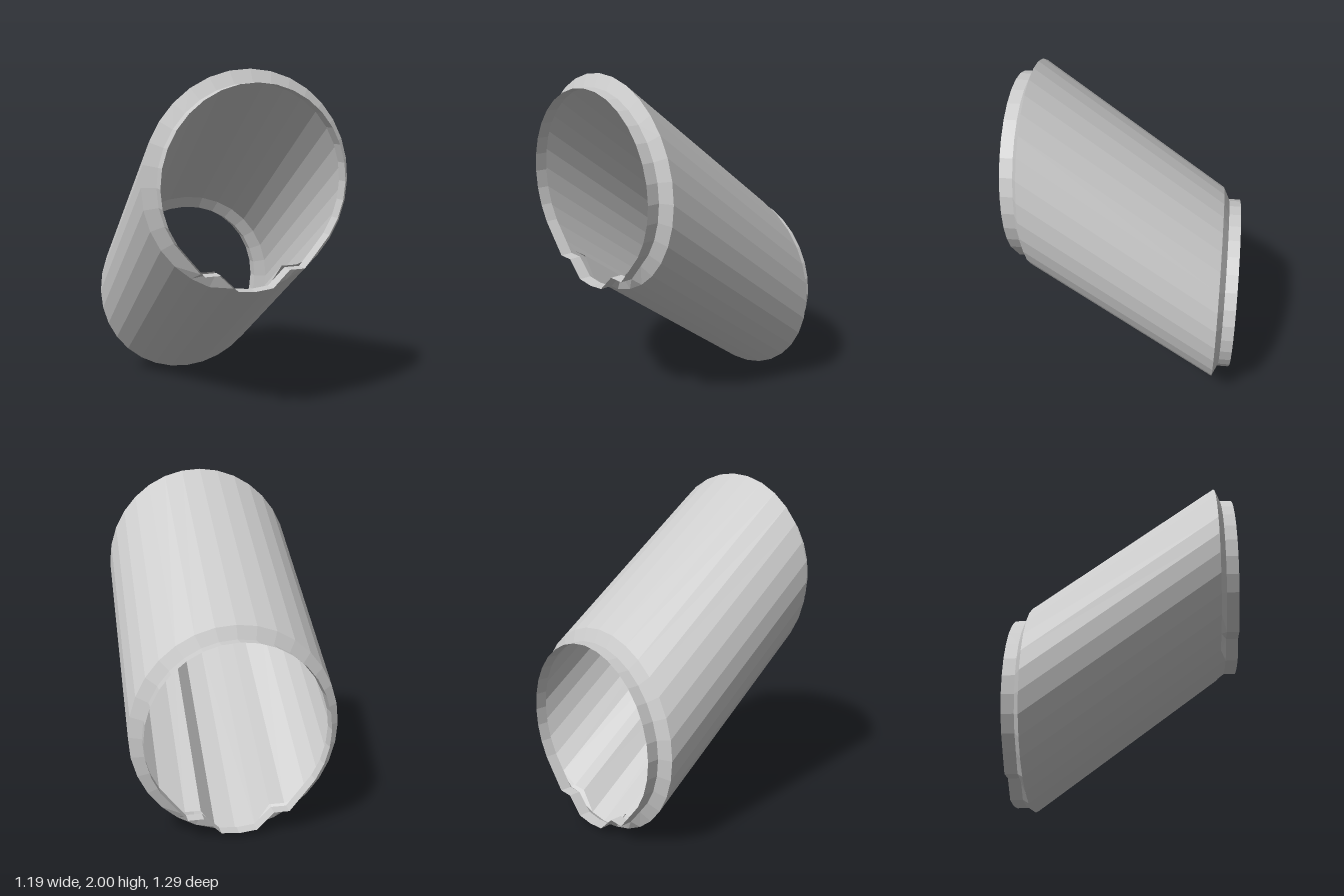
import * as THREE from 'three';

const SIDES = 32;
const BODY_R = 0.597, COLLAR_R = 0.525;
const RISE = 0.403, MID = 1.0; // ring centres sit at MID +/- RISE
const Z_BODY = 0.54, Z_COLLAR = 0.575, Z_END = 0.645;

const material = new THREE.MeshStandardMaterial({
  color: 0xcccccc, flatShading: true, side: THREE.DoubleSide,
});

// Point k of a round section, counted from the bottom
function onCircle(k, r) {
  const a = (k / SIDES) * Math.PI * 2;
  return [Math.sin(a) * r, -Math.cos(a) * r];
}

// Collar section: round, with a stepped channel at the bottom
const CHANNEL = [[0, -0.573], [0.102, -0.563], [0.2, -0.468], [0.29, -0.468]];
function onCollar(k) {
  const side = k > SIDES / 2 ? -1 : 1;
  const n = side < 0 ? SIDES - k : k;
  return n < CHANNEL.length ? [side * CHANNEL[n][0], CHANNEL[n][1]] : onCircle(k, COLLAR_R);
}

const ring = (fn) => Array.from({ length: SIDES + 1 }, (_, k) => fn(k % SIDES));
const bodyRing = ring((k) => onCircle(k, BODY_R));
const collarRing = ring(onCollar);

// Places a section at depth z, on the high front or low back centre
function place(section, z) {
  const cy = MID + Math.sign(z) * RISE;
  return section.map(([x, y]) => [x, y + cy, z]);
}

// Joins sections, listed from back to front, into a sheet
function loft(name, rows) {
  const n = rows[0].length;
  const index = [];
  for (let j = 0; j < rows.length - 1; j++) {
    for (let i = 0; i < n - 1; i++) {
      const a = j * n + i, b = a + 1, d = a + n, c = d + 1;
      index.push(a, b, c, a, c, d);
    }
  }
  const geometry = new THREE.BufferGeometry();
  geometry.setAttribute('position', new THREE.Float32BufferAttribute(rows.flat(2), 3));
  geometry.setIndex(index);
  geometry.computeVertexNormals();
  const mesh = new THREE.Mesh(geometry, material);
  mesh.name = name;
  return mesh;
}

export function createModel() {
  const group = new THREE.Group();
  group.name = 'slantedTube';

  // Slanted main tube
  group.add(loft('tubeBody', [place(bodyRing, -Z_BODY), place(bodyRing, Z_BODY)]));

  // Bevel and straight collar at each end
  group.add(loft('frontCollar', [
    place(bodyRing, Z_BODY), place(collarRing, Z_COLLAR), place(collarRing, Z_END),
  ]));
  group.add(loft('backCollar', [
    place(collarRing, -Z_END), place(collarRing, -Z_COLLAR), place(bodyRing, -Z_BODY),
  ]));

  // Two rails along the inside floor, either side of the channel
  const rail = [onCircle(4, BODY_R), CHANNEL[3], CHANNEL[2], onCircle(1, BODY_R)];
  const mirrored = rail.map(([x, y]) => [-x, y]).reverse();
  group.add(loft('leftRail', [place(rail, -Z_BODY), place(rail, Z_BODY)]));
  group.add(loft('rightRail', [place(mirrored, -Z_BODY), place(mirrored, Z_BODY)]));

  return group;
}
